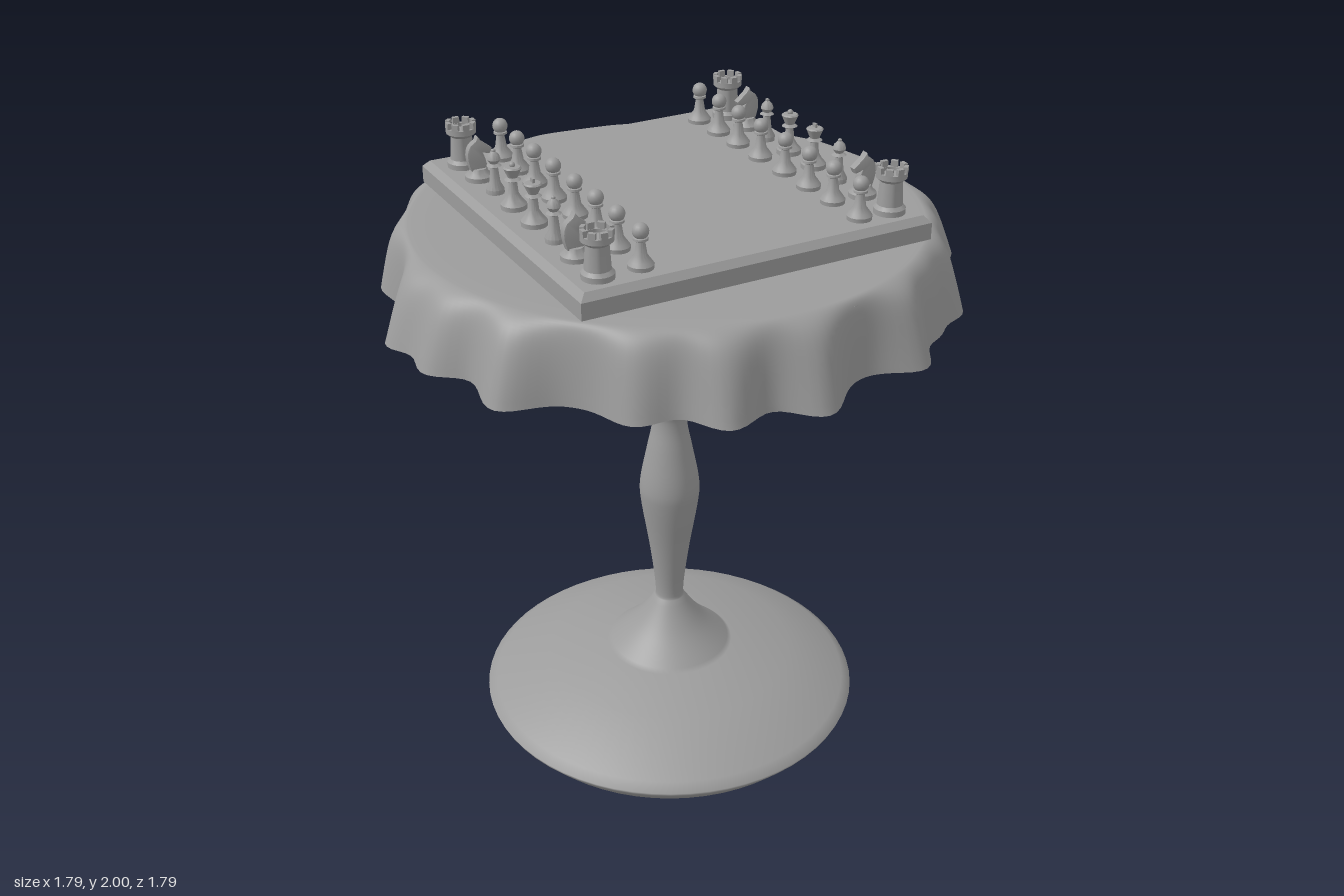
import * as THREE from 'three';
import { mergeVertices, toCreasedNormals } from 'three/addons/utils/BufferGeometryUtils.js';

const grey = new THREE.MeshStandardMaterial({ color: 0x9c9c9c });
const clothGrey = new THREE.MeshStandardMaterial({ color: 0x9c9c9c, side: THREE.DoubleSide });
const BOARD_TOP = 1.86;

const vectors = (pts) => pts.map(([r, y]) => new THREE.Vector2(r, y));

function part(name, geometry, material = grey) {
  const mesh = new THREE.Mesh(geometry, material);
  mesh.name = name;
  return mesh;
}

function turned(name, pts, segments = 20) {
  return part(name, toCreasedNormals(new THREE.LatheGeometry(vectors(pts), segments), 0.6));
}

// Turned pedestal: dished foot, waisted stem and a flare that spreads under the table top
function makePedestal() {
  const stem = new THREE.SplineCurve(vectors([
    [0.21, 0.23], [0.12, 0.315], [0.058, 0.4], [0.046, 0.44], [0.064, 0.6], [0.092, 0.78], [0.095, 0.86],
    [0.073, 0.98], [0.056, 1.07], [0.062, 1.13], [0.107, 1.225], [0.197, 1.365], [0.32, 1.565],
    [0.42, 1.69], [0.58, 1.745], [0.78, 1.76],
  ])).getPoints(70);
  const foot = vectors([[0, 0.005], [0.3, 0.007], [0.565, 0.012], [0.615, 0.068], [0.62, 0.08], [0.59, 0.103], [0.405, 0.203]]);
  const pedestal = part('pedestal', new THREE.LatheGeometry([...foot, ...stem], 64));
  pedestal.position.set(0.015, 0, -0.01);
  return pedestal;
}

// Tablecloth: flat on top, rounding over the rim and falling in irregular flutes
function makeCloth() {
  const flutes = [-93, -73, -54, -41, -22, -3, 15, 28, 41, 53, 66, 90, 108, 124, 149, 166, 179, 203, 227, 252];
  const fluteAt = (deg) => flutes.reduce((sum, f, i) => {
    const d = ((deg - f + 540) % 360) - 180;
    const strength = [1, 0.95, 0.95, 0.7, 1, 0.95, 1, 0.55, 0.8, 0.5][i % 10];
    return sum + strength * Math.exp(-((d / 4.6) ** 2) / 2);
  }, 0);

  // The profile stores drop (0..1) as negative y, and the flat top as y = 0
  const profile = [];
  for (let i = 20; i > 0; i--) profile.push(new THREE.Vector2(1, -((i / 20) ** 2)));
  for (const r of [0.73, 0.7, 0.6, 0.4, 0.2, 0]) profile.push(new THREE.Vector2(r, 0));
  let geo = new THREE.LatheGeometry(profile, 240);
  const pos = geo.attributes.position;
  for (let i = 0; i < pos.count; i++) {
    const x = pos.getX(i), z = pos.getZ(i), t = -pos.getY(i);
    if (t <= 0) {
      pos.setY(i, 1.79);
      continue;
    }
    const a = Math.atan2(z, x);
    const flute = fluteAt((a * 180) / Math.PI);
    const r = 0.735 + 0.062 * t ** 0.2 + flute * (0.035 * (1 - Math.exp(-10 * t)) + 0.066 * t)
      + 0.005 * t * Math.sin(a * 3 + 1);
    const hem = 1.583 - 0.025 * Math.sin(a) + 0.006 * Math.sin(a * 7) - 0.008 * flute;
    pos.setXYZ(i, r * Math.cos(a), 1.79 + (hem - 1.79) * t, r * Math.sin(a));
  }
  geo.deleteAttribute('uv');
  geo.deleteAttribute('normal');
  geo = mergeVertices(geo, 1e-5);
  geo.computeVertexNormals();
  return part('tablecloth', geo, clothGrey);
}

// Round table top hidden under the cloth, seen from below
function makeTableTop() {
  const top = part('tableTop', new THREE.CylinderGeometry(0.775, 0.775, 0.015, 64));
  top.position.y = 1.762;
  return top;
}

// Square board with a chamfered upper edge
function makeBoard() {
  const h = Math.SQRT2;
  const pts = [[0, 0], [0.549 * h, 0], [0.549 * h, 0.05], [0.53 * h, 0.07], [0, 0.07]];
  const geo = new THREE.LatheGeometry(vectors(pts), 4).rotateY(Math.PI / 4);
  const board = part('board', toCreasedNormals(geo, 0.1));
  board.position.set(0.009, 1.79, -0.015);
  return board;
}

function makePawn() {
  const g = new THREE.Group();
  g.add(turned('pawnBody', [[0, 0], [0.036, 0], [0.037, 0.012], [0.03, 0.022], [0.018, 0.038], [0.012, 0.075],
    [0.021, 0.08], [0.02, 0.086], [0.009, 0.092]], 16));
  const head = part('pawnHead', new THREE.SphereGeometry(0.023, 16, 12));
  head.position.y = 0.104;
  g.add(head);
  return g;
}

function makeRook() {
  const g = new THREE.Group();
  g.add(turned('rookTower', [[0, 0], [0.046, 0], [0.046, 0.016], [0.037, 0.026], [0.032, 0.095], [0.045, 0.106],
    [0.045, 0.122], [0.032, 0.122], [0.032, 0.112], [0, 0.112]], 24));
  for (let i = 0; i < 8; i++) {
    const a = (i / 8) * Math.PI * 2;
    const merlon = part('rookMerlon', new THREE.BoxGeometry(0.012, 0.018, 0.02));
    merlon.position.set(0.039 * Math.cos(a), 0.131, 0.039 * Math.sin(a));
    merlon.rotation.y = -a;
    g.add(merlon);
  }
  return g;
}

// Knight: thin horse head in profile, facing +x
function makeKnight() {
  const g = new THREE.Group();
  g.add(turned('knightBase', [[0, 0], [0.041, 0], [0.041, 0.014], [0.03, 0.024], [0.024, 0.036], [0, 0.036]], 20));
  const s = new THREE.Shape();
  s.moveTo(-0.022, 0.03);
  s.quadraticCurveTo(-0.05, 0.1, -0.006, 0.118);
  s.lineTo(-0.001, 0.13);
  s.lineTo(0.008, 0.116);
  s.lineTo(0.038, 0.092);
  s.lineTo(0.032, 0.08);
  s.lineTo(0.008, 0.086);
  s.quadraticCurveTo(0.022, 0.055, 0.022, 0.03);
  const geo = new THREE.ExtrudeGeometry(s, { depth: 0.016, bevelSize: 0.003, bevelThickness: 0.004, bevelSegments: 2, curveSegments: 8 });
  g.add(part('knightHead', toCreasedNormals(geo.translate(0, 0, -0.008), 0.7)));
  return g;
}

function makeBishop() {
  const g = new THREE.Group();
  g.add(turned('bishopBody', [[0, 0], [0.027, 0], [0.027, 0.014], [0.016, 0.034], [0.011, 0.078], [0.022, 0.083], [0.012, 0.09],
    [0.02, 0.102], [0.016, 0.115], [0.006, 0.125], [0.006, 0.13], [0, 0.134]], 16));
  return g;
}

// Queen and king share a turned body; the finial tells them apart
function makeRoyal(king) {
  const g = new THREE.Group();
  const name = king ? 'king' : 'queen';
  g.add(turned(name + 'Body', [[0, 0], [0.038, 0], [0.038, 0.014], [0.026, 0.028], [0.015, 0.046], [0.012, 0.08], [0.024, 0.086],
    [0.014, 0.093], [0.026, 0.12], [0.022, 0.124], [0, 0.126]], 18));
  const top = king
    ? part('kingFinial', new THREE.BoxGeometry(0.007, 0.016, 0.016))
    : part('queenFinial', new THREE.SphereGeometry(0.009, 10, 8));
  top.position.y = 0.129;
  g.add(top);
  return g;
}

// Both armies, mirrored across the board
function makePieces() {
  const pieces = new THREE.Group();
  pieces.name = 'chessPieces';
  const ranks = [-0.458, -0.335, -0.215, -0.083, 0.055, 0.187, 0.314, 0.449];
  const makers = [makeRook, makeKnight, makeBishop, () => makeRoyal(false), () => makeRoyal(true), makeBishop, makeKnight, makeRook];
  const names = ['rook', 'knight', 'bishop', 'queen', 'king', 'bishop', 'knight', 'rook'];
  for (const side of [-1, 1]) {
    ranks.forEach((z, i) => {
      const piece = makers[i]();
      piece.name = names[i];
      piece.position.set(0.01 + side * 0.459, BOARD_TOP, z);
      if (side > 0) piece.rotation.y = Math.PI;
      const pawn = makePawn();
      pawn.name = 'pawn';
      pawn.position.set(0.022 + side * 0.345, BOARD_TOP, z);
      pieces.add(piece, pawn);
    });
  }
  return pieces;
}

export function createModel() {
  const model = new THREE.Group();
  model.name = 'chessTable';
  model.add(makePedestal(), makeTableTop(), makeCloth(), makeBoard(), makePieces());
  return model;
}
